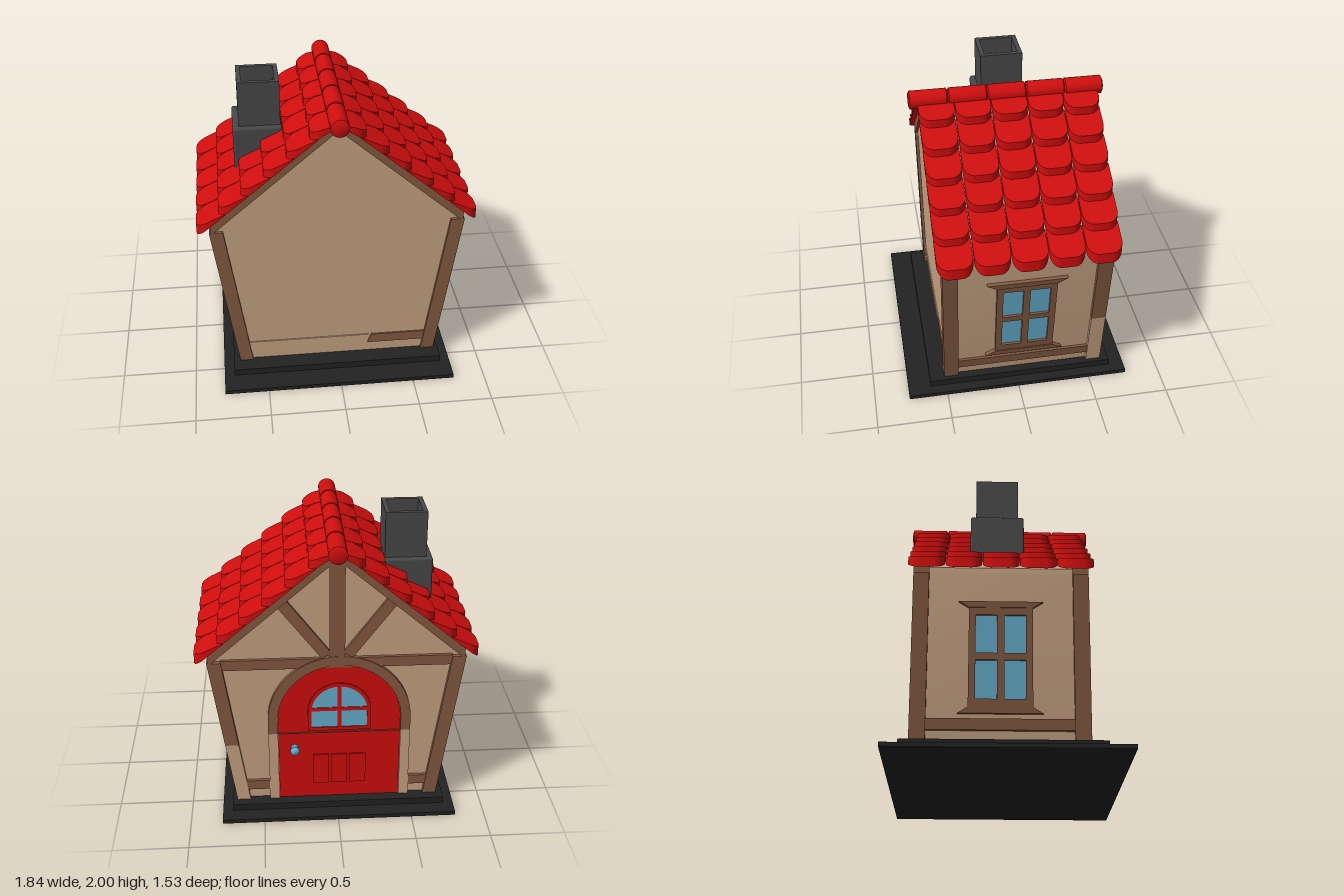
import * as THREE from 'three';
import { toCreasedNormals } from 'three/addons/utils/BufferGeometryUtils.js';
import { RoundedBoxGeometry } from 'three/addons/geometries/RoundedBoxGeometry.js';

const mat = (name, color) => {
  const m = new THREE.MeshStandardMaterial({ color });
  m.name = name;
  return m;
};

export function createModel() {
  const plaster = mat('plaster', 0xc6a282);
  const timber = mat('timber', 0x845a40);
  const red = mat('red', 0xd00e0e);
  const slate = mat('slate', 0x222222);
  const stone = mat('stone', 0x484848);
  const glass = mat('glass', 0x66b0d0);

  const house = new THREE.Group();
  house.name = 'cottage';
  const midZ = -0.045;
  const frontZ = 0.51, backZ = -0.6;

  const add = (name, geo, material, parent = house) => {
    const mesh = new THREE.Mesh(geo, material);
    mesh.name = name;
    parent.add(mesh);
    return mesh;
  };
  const poly = (pts) => new THREE.Shape(pts.map(([x, y]) => new THREE.Vector2(x, y)));
  const rect = (x0, y0, x1, y1) => poly([[x0, y0], [x1, y0], [x1, y1], [x0, y1]]);
  // Upright panel cut from a shape, between two depths
  const plate = (name, material, shape, z0, z1, parent = house) => {
    const geo = new THREE.ExtrudeGeometry(shape, { depth: z1 - z0, bevelEnabled: false, curveSegments: 20 });
    geo.translate(0, 0, z0);
    return add(name, toCreasedNormals(geo, 0.6), material, parent);
  };
  const box = (name, material, x0, x1, y0, y1, z0, z1) => {
    const m = add(name, new THREE.BoxGeometry(x1 - x0, y1 - y0, z1 - z0), material);
    m.position.set((x0 + x1) / 2, (y0 + y1) / 2, (z0 + z1) / 2);
  };
  // Half width of the outward-leaning walls, and height of the roof plane
  const half = (y) => 0.685 + 0.144 * (y - 0.075);
  const roofY = (x) => 1.92 - 0.845 * Math.abs(x);
  // Leaning strip that follows the side wall
  const strip = (s, y0, y1, inner, outer) => poly([
    [s * (half(y0) - inner), y0], [s * (half(y0) - outer), y0],
    [s * (half(y1) - outer), y1], [s * (half(y1) - inner), y1]]);

  // Base and step
  box('basePlate', slate, -0.8, 0.785, 0, 0.028, -0.765, 0.765);
  box('step', slate, -0.73, 0.715, 0.028, 0.075, -0.66, 0.61);

  // Walls
  const w0 = half(0.075) - 0.028, w1 = half(1.15) - 0.028;
  plate('walls', plaster, poly([[-w0, 0.075], [w0, 0.075], [w1, 1.15], [w1, 1.2],
    [0, 1.9], [-w1, 1.2], [-w1, 1.15]]), backZ + 0.03, frontZ - 0.02);

  // Corner posts, side beams and rafters
  for (const s of [1, -1]) {
    plate('frontPost', timber, strip(s, 0.075, 1.15, 0.09, 0), 0.41, frontZ);
    const split = s > 0 ? 0.52 : 0.075;
    plate('backPost', timber, strip(s, split, 1.15, 0.09, 0), backZ, -0.5);
    if (s > 0) plate('backPostFoot', plaster, strip(s, 0.075, split, 0.09, 0), backZ, -0.5);
    plate('sideBeam', timber, strip(s, 0.15, 0.22, 0.06, 0.008), -0.5, 0.41);
  }
  for (const z of [0.41, backZ]) {
    plate('rafters', timber, poly([[0, 1.915], [-0.83, 1.215], [-0.83, 1.15], [-0.81, 1.15],
      [0, 1.85], [0.81, 1.15], [0.83, 1.15], [0.83, 1.215]]), z, z + 0.1);
  }

  // Front sill, partly plastered over
  plate('frontSillPlaster', plaster, rect(-0.62, 0.15, 0.22, 0.22), 0.48, 0.498);
  plate('frontSill', timber, poly([[0.21, 0.15], [0.61, 0.15], [0.62, 0.22], [0.24, 0.22]]), 0.48, 0.5);

  // Timbers of the back gable
  const t0 = backZ + 0.008, t1 = backZ + 0.04;
  plate('tieBeam', timber, rect(-0.75, 1.09, 0.75, 1.16), t0, t1);
  plate('kingPost', timber, rect(-0.05, 1.1, 0.05, 1.87), t0 - 0.005, t1);
  for (const s of [1, -1]) {
    plate('brace', timber, poly([[s * 0.04, 1.2], [s * 0.1, 1.16], [s * 0.385, 1.54], [s * 0.33, 1.59]]), t0, t1);
    plate('backSill', timber, rect(s * 0.46, 0.15, s * 0.62, 0.22), t0, t1);
  }

  // Door with arched frame
  const arch = (r, y0, spring, x = -0.015) => {
    const sh = new THREE.Shape();
    sh.moveTo(x - r, y0);
    sh.lineTo(x + r, y0);
    sh.lineTo(x + r, spring);
    sh.absarc(x, spring, r, 0, Math.PI, false);
    sh.closePath();
    return sh;
  };
  const frame = arch(0.475, 0.6, 0.7);
  frame.holes.push(arch(0.41, 0.6001, 0.7));
  plate('doorArch', timber, frame, backZ, t1);
  for (const s of [1, -1]) {
    plate('doorJamb', plaster, rect(-0.015 + s * 0.41, 0.075, -0.015 + s * 0.475, 0.6), backZ, t1);
  }
  plate('door', red, arch(0.408, 0.075, 0.7), backZ + 0.012, t1);
  const doorFace = backZ + 0.012;
  const trim = arch(0.21, 0.615, 0.765);
  trim.holes.push(arch(0.185, 0.64, 0.765));
  plate('doorWindowTrim', red, trim, doorFace - 0.01, doorFace);
  plate('doorGlass', glass, arch(0.185, 0.64, 0.765), doorFace - 0.003, doorFace);
  plate('doorMuntin', red, rect(-0.028, 0.64, -0.002, 0.95), doorFace - 0.008, doorFace);
  plate('doorMuntin', red, rect(-0.2, 0.765, 0.17, 0.79), doorFace - 0.008, doorFace);
  for (const i of [-1, 0, 1]) {
    const x = -0.015 + i * 0.125;
    plate('doorPanel', red, rect(x - 0.054, 0.19, x + 0.054, 0.42), doorFace - 0.01, doorFace);
  }

  // Door knob
  const knob = add('doorKnob', new THREE.LatheGeometry([[0, 0], [0.026, 0], [0.026, 0.008], [0.013, 0.014],
    [0.013, 0.024], [0.028, 0.034], [0.032, 0.046], [0.026, 0.06], [0, 0.066]]
    .map(([x, y]) => new THREE.Vector2(x, y)), 20), glass);
  knob.rotation.x = -Math.PI / 2;
  knob.position.set(0.285, 0.48, doorFace);

  // Side windows, leaning with the walls
  for (const s of [1, -1]) {
    const win = new THREE.Group();
    win.name = 'window';
    win.position.set(s * (half(0.61) - 0.03), 0.61, midZ);
    win.rotation.set(0, s * Math.PI / 2, -s * 0.143, 'ZYX');
    house.add(win);
    const sash = rect(-0.2, -0.34, 0.2, 0.34);
    for (const x of [-0.157, 0.023]) {
      for (const y of [-0.268, 0.025]) sash.holes.push(rect(x, y, x + 0.134, y + 0.248));
    }
    plate('windowFrame', timber, sash, -0.005, 0.022, win);
    plate('windowGlass', glass, rect(-0.18, -0.3, 0.18, 0.3), -0.001, 0.006, win);
    for (const v of [1, -1]) {
      plate('windowLedge', timber, poly([[-0.2, v * 0.32], [0.2, v * 0.32], [0.265, v * 0.36],
        [-0.265, v * 0.36]]), -0.005, 0.028, win);
    }
  }

  // Wedge-shaped roof tile with rounded lower corners, laid on the roof plane
  const tileGeometry = (tip) => {
    const hw = 0.116, r = 0.075, inner = tip - 0.195;
    const sh = new THREE.Shape();
    sh.moveTo(inner, -hw);
    sh.lineTo(tip - r, -hw);
    sh.absarc(tip - r, -hw + r, r, -Math.PI / 2, 0, false);
    sh.absarc(tip - r, hw - r, r, 0, Math.PI / 2, false);
    sh.lineTo(inner, hw);
    sh.closePath();
    const geo = new THREE.ExtrudeGeometry(sh, { depth: 1, bevelEnabled: false, curveSegments: 8 });
    geo.rotateX(-Math.PI / 2);
    const p = geo.attributes.position;
    for (let i = 0; i < p.count; i++) {
      const x = p.getX(i);
      p.setY(i, roofY(x) + p.getY(i) * (0.077 - 0.37 * (tip - x)));
    }
    return toCreasedNormals(geo, 0.6);
  };
  for (const turn of [0, Math.PI]) {
    const slope = new THREE.Group();
    slope.name = 'roofSlope';
    slope.position.z = midZ;
    slope.rotation.y = turn;
    house.add(slope);
    for (let row = 0; row < 6; row++) {
      const geo = tileGeometry(0.918 - row * 0.148);
      for (let col = -2; col <= 2; col++) add('roofTile', geo, red, slope).position.z = col * 0.237;
    }
  }

  // Ridge made of short round caps
  const len = 1.275 / 5;
  const cap = toCreasedNormals(new THREE.LatheGeometry([[0, 0], [0.045, 0], [0.06, 0.008], [0.06, len - 0.008],
    [0.045, len], [0, len]].map(([x, y]) => new THREE.Vector2(x, y)), 24), 0.5);
  for (let i = 0; i < 5; i++) {
    const m = add('ridgeCap', cap, red);
    m.rotation.x = Math.PI / 2;
    m.position.set(0, 1.905, -0.675 + i * len);
  }

  // Chimney with an open flue
  const base = add('chimneyBase', new RoundedBoxGeometry(0.325, 0.44, 0.355, 2, 0.015), stone);
  base.position.set(-0.488, 1.47, -0.067);
  const flue = rect(-0.61, -0.075, -0.335, 0.21);
  flue.holes.push(rect(-0.58, -0.045, -0.365, 0.18));
  const stack = plate('chimneyStack', stone, flue, 1.67, 2);
  stack.rotation.x = -Math.PI / 2;

  return house;
}
